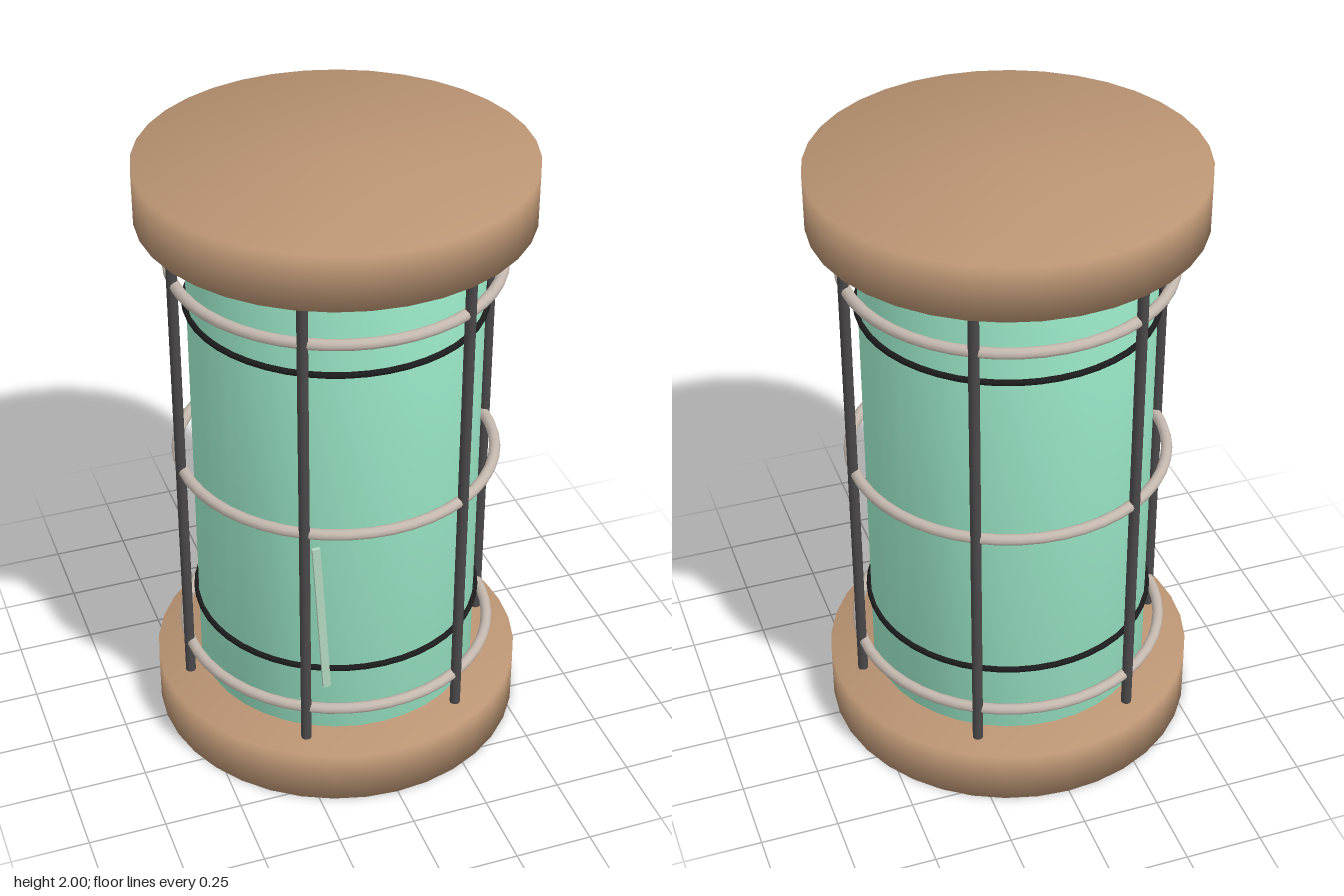
import * as THREE from 'three';
import { mergeVertices } from 'three/addons/utils/BufferGeometryUtils.js';

const paint = (color) => new THREE.MeshStandardMaterial({ color });

export function createModel() {
  const model = new THREE.Group();
  const wood = paint(0xba9473);
  const glass = paint(0x98e4c4);
  const iron = paint(0x4a4848);
  const steel = paint(0xc4b8ae);
  const rubber = paint(0x1c1c1c);

  function add(name, geometry, material, x, y, z) {
    const mesh = new THREE.Mesh(geometry, material);
    mesh.name = name;
    mesh.position.set(x, y, z);
    model.add(mesh);
    return mesh;
  }

  // Upright cylinder from y0 to y1, shaded softly across its rims
  function cylinder(name, radius, y0, y1, sides, material, x = 0, z = 0) {
    let geometry = new THREE.CylinderGeometry(radius, radius, y1 - y0, sides);
    geometry.deleteAttribute('normal');
    geometry.deleteAttribute('uv');
    geometry = mergeVertices(geometry, 1e-4);
    geometry.computeVertexNormals();
    return add(name, geometry, material, x, (y0 + y1) / 2, z);
  }

  // Horizontal ring around the body
  function ring(name, radius, tube, y, material) {
    const geometry = new THREE.TorusGeometry(radius, tube, 10, 48).rotateX(Math.PI / 2);
    return add(name, geometry, material, 0, y, 0);
  }

  // Wooden end discs and the body between them
  cylinder('base', 0.605, 0, 0.18, 36, wood);
  cylinder('lid', 0.605, 1.825, 2, 36, wood);
  cylinder('body', 0.46, 0.18, 1.825, 36, glass);

  // Dark bands on the body
  for (const y of [0.43, 1.53]) ring('band', 0.464, 0.01, y, rubber);

  // Cage: three hoops and six upright bars
  for (const y of [0.3, 0.99, 1.66]) ring('hoop', 0.508, 0.018, y, steel);
  for (let i = 0; i < 6; i++) {
    const a = (i * Math.PI) / 3;
    cylinder('bar', 0.017, 0.18, 1.79, 12, iron, 0.515 * Math.cos(a), 0.515 * Math.sin(a));
  }

  // Thin slanted sliver in front of the body
  const sliver = add('sliver', new THREE.BoxGeometry(0.025, 0.55, 0.012), paint(0xb4d8c2), -0.216, 0.68, 0.48);
  sliver.rotation.z = 0.06;

  return model;
}
